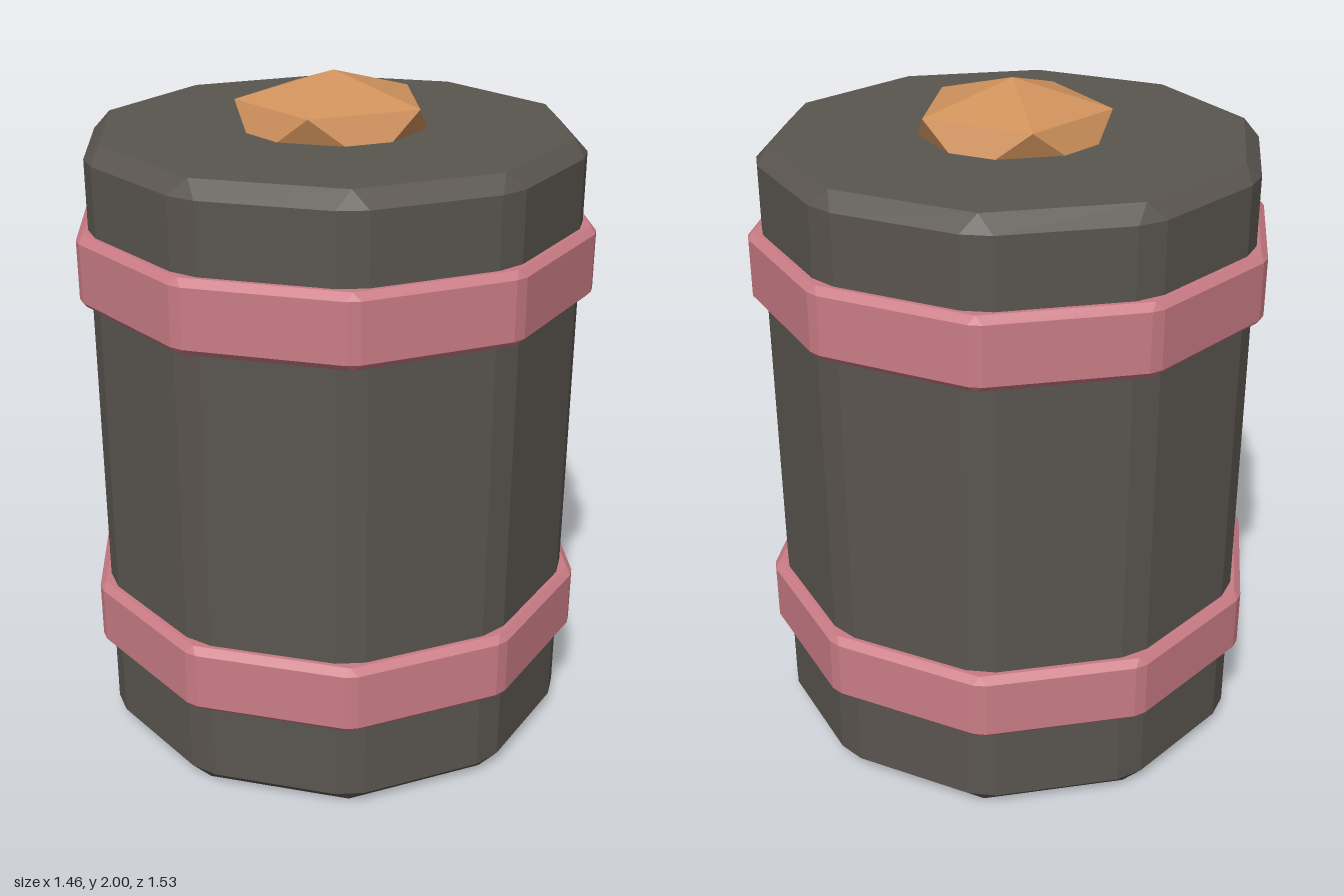
import * as THREE from 'three';

// Point at an angle (in degrees, from +z toward +x) around the y axis
const polar = (r, y, deg) => {
  const a = THREE.MathUtils.degToRad(deg);
  return new THREE.Vector3(r * Math.sin(a), y, r * Math.cos(a));
};

// Regular ring of n corners
const ring = (n, r, y, start = 0) =>
  Array.from({ length: n }, (_, i) => polar(r, y, start + (i * 360) / n));

// Ten-sided ring with each corner replaced by two points, set back along the sides
function cutRing(apothem, cut, y) {
  const corner = apothem / Math.cos(Math.PI / 10);
  const half = corner * Math.sin(Math.PI / 10) - cut;
  const r = Math.hypot(apothem, half);
  const spread = 18 - THREE.MathUtils.radToDeg(Math.atan2(half, apothem));
  const pts = [];
  for (let i = 0; i < 10; i++) pts.push(polar(r, y, i * 36 - spread), polar(r, y, i * 36 + spread));
  return pts;
}

// Flat-faced skin over rings listed from bottom to top
function loft(rings) {
  const pos = [];
  const tri = (a, b, c) => {
    if (new THREE.Triangle(a, b, c).getArea() > 1e-7) {
      for (const p of [a, b, c]) pos.push(p.x, p.y, p.z);
    }
  };
  for (let k = 0; k < rings.length - 1; k++) {
    const lo = rings[k], up = rings[k + 1], n = lo.length;
    for (let i = 0; i < n; i++) {
      const j = (i + 1) % n;
      tri(lo[i], lo[j], up[j]);
      tri(lo[i], up[j], up[i]);
    }
  }
  const geo = new THREE.BufferGeometry();
  geo.setAttribute('position', new THREE.Float32BufferAttribute(pos, 3));
  geo.computeVertexNormals();
  return geo;
}

// Ten-sided prism with chamfered edges
const chamferedPrism = (apothem, y0, y1, cut) => loft([
  cutRing(0, 0, y0).map(() => new THREE.Vector3(0, y0, 0)),
  cutRing(apothem - cut, 0, y0),
  cutRing(apothem, cut, y0 + cut),
  cutRing(apothem, cut, y1 - cut),
  cutRing(apothem - cut, 0, y1),
  cutRing(0, 0, y1).map(() => new THREE.Vector3(0, y1, 0)),
]);

export function createModel() {
  const model = new THREE.Group();
  model.name = 'barrel';

  const material = (name, color) => {
    const m = new THREE.MeshStandardMaterial({ color });
    m.name = name;
    return m;
  };
  const darkGrey = material('dark grey', 0x5a554f);
  const pink = material('pink', 0xca7c85);
  const orange = material('orange', 0xd0925c);

  const add = (name, geo, mat) => {
    const mesh = new THREE.Mesh(geo, mat);
    mesh.name = name;
    model.add(mesh);
  };

  // Barrel body
  add('body', chamferedPrism(0.7, 0, 1.845, 0.045), darkGrey);

  // Two hoops
  add('lowerBand', chamferedPrism(0.732, 0.283, 0.494, 0.02), pink);
  add('upperBand', chamferedPrism(0.732, 1.388, 1.599, 0.02), pink);

  // Squashed icosahedron knob, half sunk in the lid
  add('knob', loft([
    ring(5, 0, 1.71),
    ring(5, 0.283, 1.79, 126),
    ring(5, 0.283, 1.92, 90),
    ring(5, 0, 2),
  ]), orange);

  return model;
}
